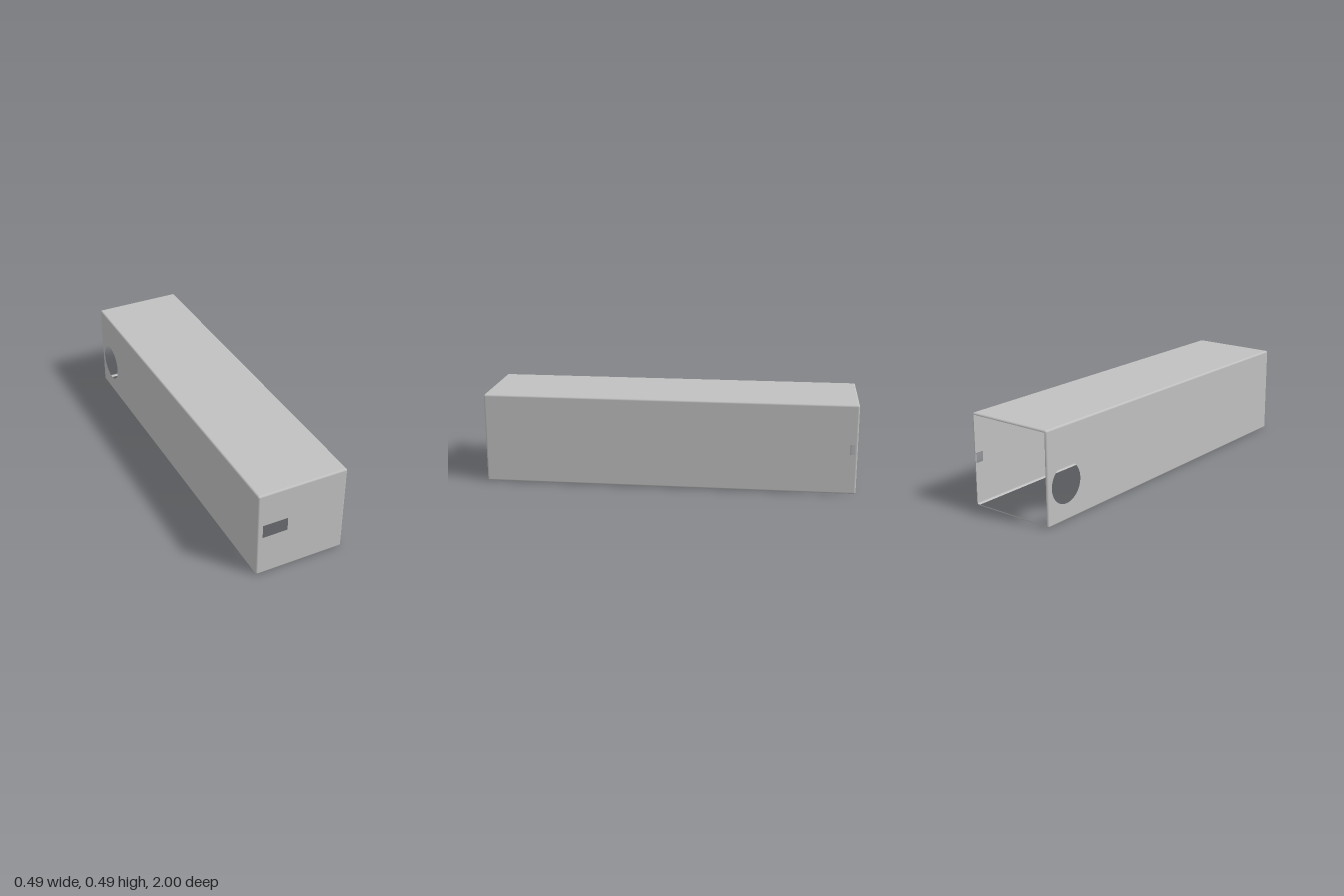
import * as THREE from 'three';

const HX = 0.244, HY = 0.244, HZ = 1.0; // half sizes
const R = 0.01;                         // edge rounding
const IX = HX - R, IY = HY - R, IZ = HZ - R;

const sheetGrey = new THREE.MeshStandardMaterial({ color: 0xc0c0c0, side: THREE.DoubleSide });
sheetGrey.name = 'sheetGrey';

function rectPoints(shape, x0, y0, x1, y1) {
  shape.moveTo(x0, y0).lineTo(x1, y0).lineTo(x1, y1).lineTo(x0, y1).closePath();
  return shape;
}

// Flat wall facing +z, with optional cut-out
function panel(name, hw, hh, hole) {
  const shape = rectPoints(new THREE.Shape(), -hw, -hh, hw, hh);
  if (hole) shape.holes.push(hole);
  const mesh = new THREE.Mesh(new THREE.ShapeGeometry(shape, 48), sheetGrey);
  mesh.name = name;
  return mesh;
}

// Four quarter-round edges parallel to the local y axis
function roundedEdges(name, ix, iy, iz) {
  const group = new THREE.Group();
  group.name = name;
  const signs = [[1, 1], [1, -1], [-1, -1], [-1, 1]];
  signs.forEach(([sx, sz], k) => {
    const geo = new THREE.CylinderGeometry(R, R, 2 * iy, 6, 1, true, 0, Math.PI / 2);
    const edge = new THREE.Mesh(geo, sheetGrey);
    edge.name = 'roundedEdge';
    edge.rotation.y = k * Math.PI / 2;
    edge.position.set(sx * ix, 0, sz * iz);
    group.add(edge);
  });
  return group;
}

export function createModel() {
  const model = new THREE.Group();
  model.name = 'openCover';
  const shell = new THREE.Group();
  shell.name = 'shell';
  shell.position.y = HY;
  model.add(shell);

  // Front wall with a rectangular window
  const front = panel('frontWall', IX, IY, rectPoints(new THREE.Path(), -0.214, 0.229 - HY, -0.077, 0.303 - HY));
  front.position.z = HZ;

  // Left wall with a small slot near the open back (local x is -z)
  const left = panel('leftWall', IZ, IY, rectPoints(new THREE.Path(), 0.94, 0.22 - HY, 0.985, 0.273 - HY));
  left.rotation.y = Math.PI / 2;
  left.position.x = HX;

  // Right wall with a round port near the open back (local x is +z)
  const port = new THREE.Path().absarc(-0.866, 0.191 - HY, 0.103, 0, Math.PI * 2, true);
  const right = panel('rightWall', IZ, IY, port);
  right.rotation.y = -Math.PI / 2;
  right.position.x = -HX;

  // Roof; bottom and back stay open
  const roof = panel('roof', IX, IZ);
  roof.rotation.x = -Math.PI / 2;
  roof.position.y = HY;
  shell.add(front, left, right, roof);

  // Rounded edges along all three axes
  const upright = roundedEdges('uprightEdges', IX, IY, IZ);
  const lengthwise = roundedEdges('lengthwiseEdges', IX, IZ, IY);
  lengthwise.rotation.x = Math.PI / 2;
  const crosswise = roundedEdges('crosswiseEdges', IY, IX, IZ);
  crosswise.rotation.z = Math.PI / 2;
  shell.add(upright, lengthwise, crosswise);

  // Rounded corners
  for (const sy of [1, -1]) {
    [[1, 1], [1, -1], [-1, -1], [-1, 1]].forEach(([sx, sz], k) => {
      const geo = new THREE.SphereGeometry(R, 6, 6, Math.PI / 2, Math.PI / 2, sy > 0 ? 0 : Math.PI / 2, Math.PI / 2);
      const corner = new THREE.Mesh(geo, sheetGrey);
      corner.name = 'roundedCorner';
      corner.rotation.y = k * Math.PI / 2;
      corner.position.set(sx * IX, sy * IY, sz * IZ);
      shell.add(corner);
    });
  }
  return model;
}
